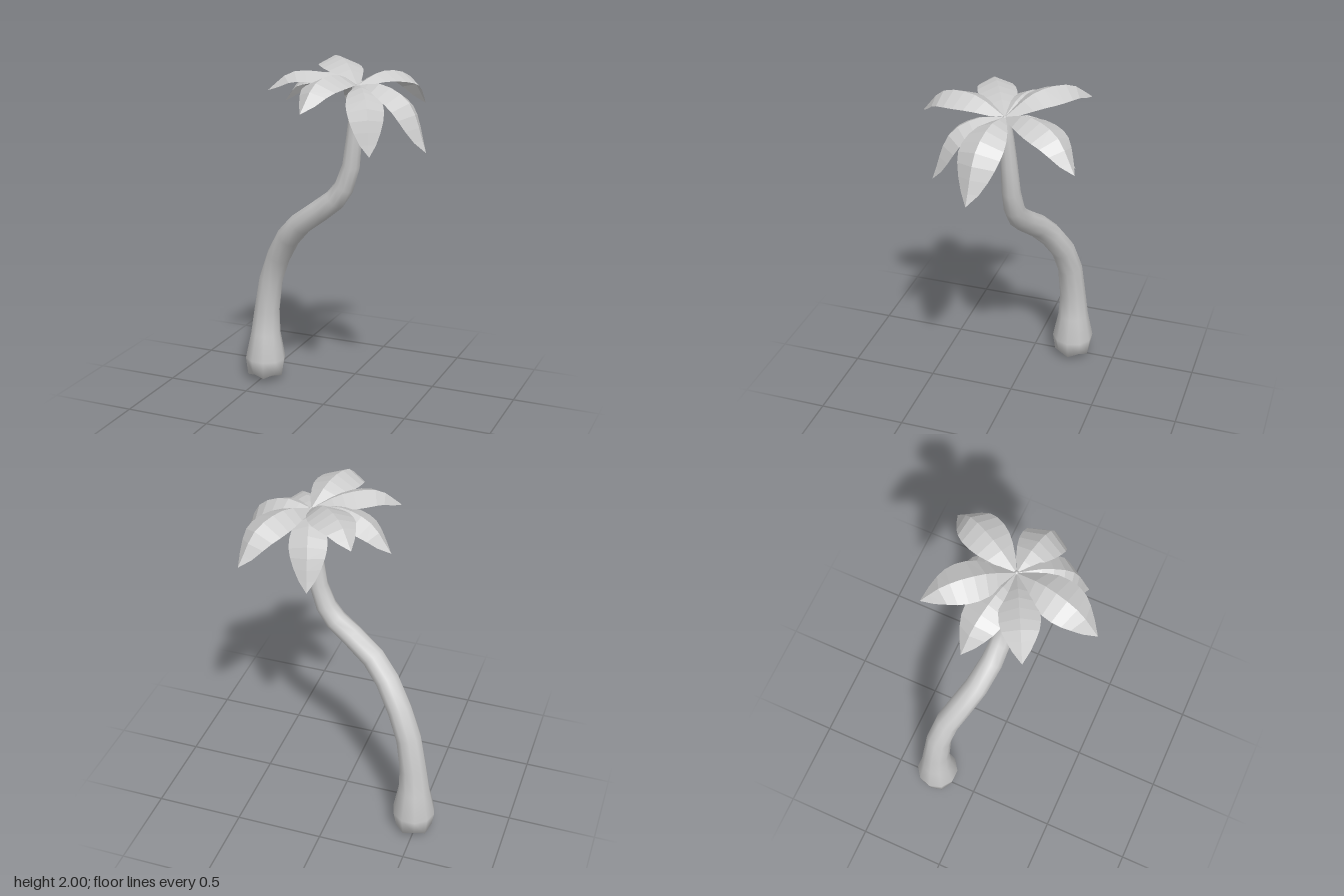
import * as THREE from 'three';

const SIDES = 10;

// Trunk cross-sections from root to crown: x, y, z, radius
const TRUNK = [
  [-0.487, 0.005, -0.245, 0], [-0.487, 0.045, -0.245, 0.108], [-0.486, 0.14, -0.245, 0.122],
  [-0.482, 0.3, -0.245, 0.09], [-0.47, 0.45, -0.242, 0.077], [-0.435, 0.65, -0.23, 0.072],
  [-0.37, 0.81, -0.2, 0.07], [-0.28, 0.95, -0.145, 0.069], [-0.185, 1.05, -0.1, 0.067],
  [-0.05, 1.15, -0.067, 0.064], [0.045, 1.225, -0.058, 0.061], [0.103, 1.305, -0.053, 0.057],
  [0.145, 1.43, -0.05, 0.051], [0.165, 1.6, -0.045, 0.045], [0.178, 1.75, -0.038, 0.038],
  [0.187, 1.87, -0.03, 0.03], [0.19, 1.89, -0.03, 0],
];

// Fronds: tip x, y, z, then midrib height at 35% and 72% of the reach, half width
const FRONDS = [
  [0.425, 1.73, -0.47, 1.94, 1.9, 0.115],
  [0.605, 1.56, 0.04, 1.9, 1.82, 0.12],
  [0.385, 1.57, 0.3, 1.89, 1.82, 0.1],
  [0.07, 1.8, 0.465, 1.96, 1.94, 0.12],
  [-0.24, 1.86, 0.19, 1.95, 1.955, 0.105],
  [-0.28, 1.75, -0.125, 1.935, 1.895, 0.11],
  [-0.155, 1.9, -0.4, 1.985, 1.99, 0.115],
  [0.09, 1.59, -0.385, 1.89, 1.81, 0.1],
];

function makeGeometry(positions, indices) {
  const geometry = new THREE.BufferGeometry();
  geometry.setAttribute('position', new THREE.Float32BufferAttribute(positions, 3));
  geometry.setIndex(indices);
  geometry.computeVertexNormals();
  return geometry;
}

// Rings perpendicular to the bent centre line
function trunkGeometry() {
  const centres = TRUNK.map(([x, y, z]) => new THREE.Vector3(x, y, z));
  const positions = [], indices = [];
  TRUNK.forEach(([, , , radius], i) => {
    const last = TRUNK.length - 1;
    const tangent = centres[Math.min(i + 1, last)].clone()
      .sub(centres[Math.max(i - 1, 0)]).normalize();
    const u = new THREE.Vector3(1, 0, 0).addScaledVector(tangent, -tangent.x).normalize();
    const v = tangent.clone().cross(u);
    for (let j = 0; j < SIDES; j++) {
      const a = (j / SIDES) * Math.PI * 2;
      const p = centres[i].clone()
        .addScaledVector(u, Math.cos(a) * radius)
        .addScaledVector(v, Math.sin(a) * radius);
      if (i === 1) p.y += j % 2 ? 0.012 : -0.012; // ragged root edge
      positions.push(p.x, p.y, p.z);
      if (i < last) {
        const k = (j + 1) % SIDES, r = i * SIDES, s = r + SIDES;
        if (i > 0) indices.push(r + j, r + k, s + j);
        else indices.push(r + j, s + k, s + j);
        if (i > 0 && i < last - 1) indices.push(r + k, s + k, s + j);
      }
    }
  });
  return makeGeometry(positions, indices);
}

// Arched blade, folded along its midrib like a roof
function frondGeometry([tx, ty, tz, y1, y2, halfWidth]) {
  const root = new THREE.Vector3(0.187, 1.88, -0.03);
  const tip = new THREE.Vector3(tx, ty, tz);
  const along = (f, y) => root.clone().lerp(tip, f).setY(y);
  const midrib = new THREE.CatmullRomCurve3([root, along(0.35, y1), along(0.74, y2), tip]);
  const side = new THREE.Vector3(tip.z - root.z, 0, root.x - tip.x).normalize();
  const steps = 9, positions = [], indices = [];
  for (let i = 0; i <= steps; i++) {
    const t = i / steps;
    const centre = midrib.getPointAt(t);
    const down = midrib.getTangentAt(t).cross(side).normalize();
    if (down.y > 0) down.negate();
    const width = Math.pow(Math.max(Math.sin(Math.PI * t), 0), 0.8) * halfWidth;
    for (const s of [-1, 0, 1]) {
      const p = centre.clone().addScaledVector(side, s * width);
      if (s) p.addScaledVector(down, width * 0.45);
      positions.push(p.x, p.y, p.z);
    }
    if (i < steps) {
      for (const c of [0, 1]) {
        const a = i * 3 + c;
        indices.push(a, a + 3, a + 1, a + 1, a + 3, a + 4);
      }
    }
  }
  return makeGeometry(positions, indices);
}

export function createModel() {
  const model = new THREE.Group();
  model.name = 'palmTree';

  const trunk = new THREE.Mesh(trunkGeometry(), new THREE.MeshStandardMaterial({ color: 0xcccccc }));
  trunk.name = 'trunk';
  model.add(trunk);

  const leafMaterial = new THREE.MeshStandardMaterial({
    color: 0xcccccc, flatShading: true, side: THREE.DoubleSide,
  });
  const crown = new THREE.Group();
  crown.name = 'crown';
  FRONDS.forEach((frond, i) => {
    const mesh = new THREE.Mesh(frondGeometry(frond), leafMaterial);
    mesh.name = `frond${i + 1}`;
    crown.add(mesh);
  });
  model.add(crown);
  return model;
}
